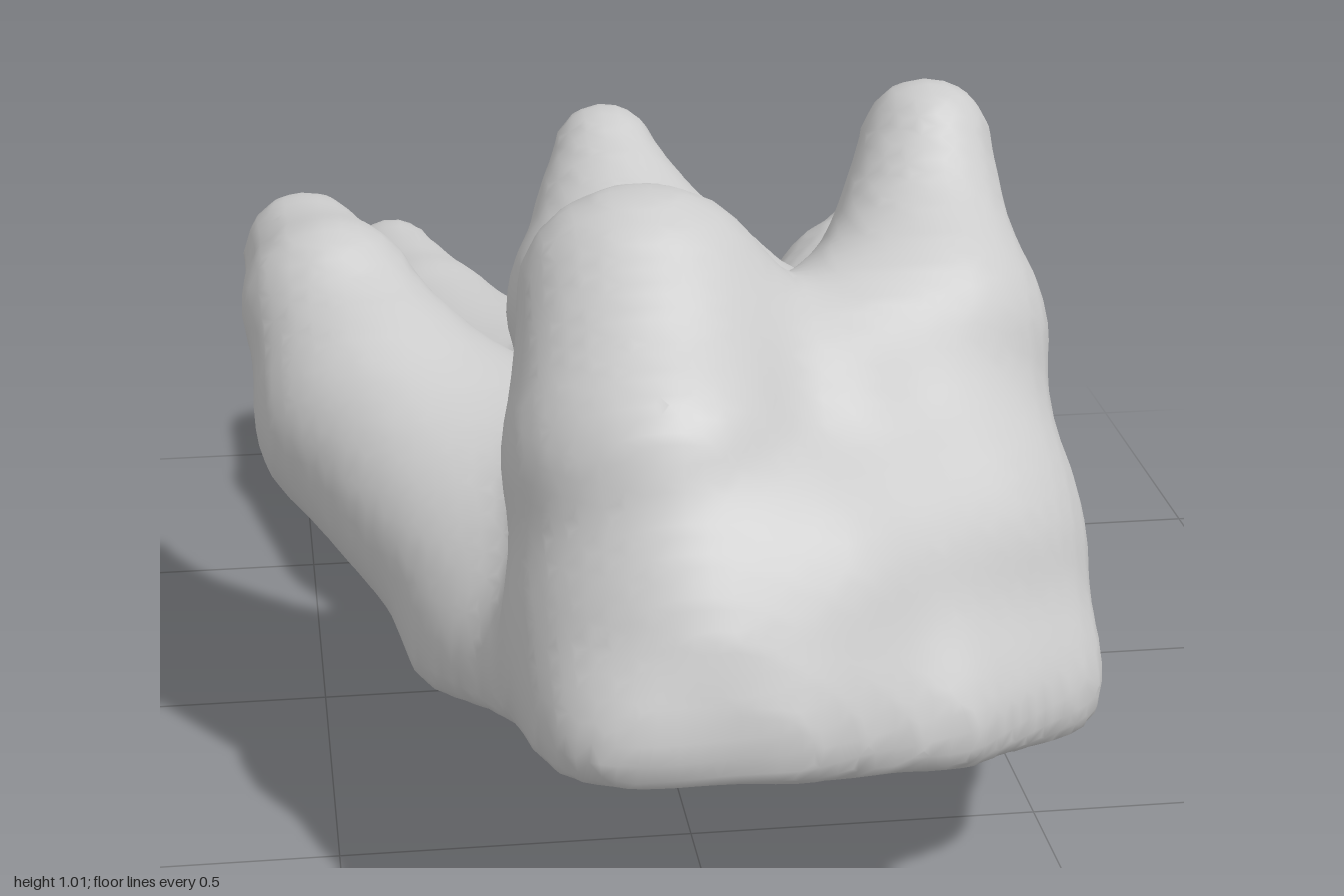
import * as THREE from 'three';

// Each lobe is a chain of balls [x, y, z, radius], tapering from one to the next
const lobes = {
  frontWall: [[-0.06, 0.44, 0.74, 0.21], [0.08, 0.45, 0.68, 0.24], [0.28, 0.45, 0.53, 0.25]],
  frontPeak: [[-0.04, 0.45, 0.73, 0.23], [-0.08, 0.65, 0.67, 0.185], [-0.1, 0.83, 0.51, 0.14]],
  frontPeakShoulder: [[-0.08, 0.65, 0.62, 0.17], [-0.03, 0.83, 0.49, 0.125]],
  saddle: [[-0.04, 0.76, 0.52, 0.14], [0.14, 0.65, 0.5, 0.17], [0.34, 0.71, 0.37, 0.16]],
  sidePeak: [[0.29, 0.45, 0.47, 0.25], [0.34, 0.68, 0.34, 0.17], [0.38, 0.92, 0.175, 0.095]],
  rightRim: [[-0.13, 0.37, 0.88, 0.105], [0.05, 0.37, 0.87, 0.115], [0.25, 0.34, 0.79, 0.13],
    [0.4, 0.31, 0.65, 0.14], [0.455, 0.22, 0.32, 0.14], [0.38, 0.16, 0, 0.14], [0.39, 0.13, -0.4, 0.13]],
  leftRim: [[-0.13, 0.37, 0.88, 0.1], [-0.13, 0.35, 0.7, 0.13], [-0.25, 0.3, 0.45, 0.13],
    [-0.18, 0.22, 0, 0.14], [-0.17, 0.24, -0.4, 0.14]],
  core: [[0.25, 0.32, 0.5, 0.24], [0.25, 0.3, 0.2, 0.27], [0.25, 0.24, -0.4, 0.2]],
  coreLeft: [[-0.03, 0.32, 0.55, 0.22], [-0.03, 0.3, 0.25, 0.25], [-0.1, 0.26, -0.4, 0.2]],
  thumb: [[-0.22, 0.38, 0.43, 0.17], [-0.41, 0.53, 0.12, 0.18], [-0.47, 0.65, 0, 0.13], [-0.5, 0.68, -0.15, 0.095]],
  thumbWeb: [[-0.1, 0.45, 0.42, 0.18], [-0.25, 0.45, 0.2, 0.17]],
  middlePeak: [[0.08, 0.43, 0.12, 0.24], [-0.02, 0.6, -0.1, 0.18], [-0.03, 0.78, -0.28, 0.08]],
  middlePeakShoulder: [[0.2, 0.44, 0.15, 0.23], [0.11, 0.57, -0.12, 0.13], [-0.02, 0.68, -0.23, 0.1]],
  upperFinger: [[0.31, 0.39, -0.05, 0.24], [0.42, 0.44, -0.47, 0.15], [0.51, 0.53, -0.67, 0.072]],
  lowerFinger: [[0.34, 0.19, -0.38, 0.18], [0.37, 0.18, -0.65, 0.135], [0.44, 0.17, -0.86, 0.075]],
  middleFinger: [[0.05, 0.25, -0.3, 0.2], [0.07, 0.24, -0.72, 0.16], [0.08, 0.23, -0.91, 0.09]],
  outerFinger: [[-0.19, 0.3, -0.3, 0.19], [-0.29, 0.36, -0.62, 0.135], [-0.335, 0.42, -0.85, 0.075]],
};

// Distance from a point to a tapered capsule
function taper(x, y, z, a, b) {
  const dx = b[0] - a[0], dy = b[1] - a[1], dz = b[2] - a[2];
  let t = ((x - a[0]) * dx + (y - a[1]) * dy + (z - a[2]) * dz) / (dx * dx + dy * dy + dz * dz);
  t = Math.min(1, Math.max(0, t));
  return Math.hypot(x - a[0] - t * dx, y - a[1] - t * dy, z - a[2] - t * dz) - (a[3] + t * (b[3] - a[3]));
}

// Rounded blend of two distances
function blend(a, b, k) {
  const h = Math.max(k - Math.abs(a - b), 0) / k;
  return Math.min(a, b) - h * h * k / 4;
}

const chains = Object.values(lobes);

// All lobes melted together, then cut by the sloping flat underside
function field(x, y, z) {
  let d = 10;
  for (const chain of chains) {
    let lobe = 10;
    for (let i = 1; i < chain.length; i++) lobe = blend(lobe, taper(x, y, z, chain[i - 1], chain[i]), 0.015);
    d = blend(d, lobe, 0.07);
  }
  const under = (0.118 + 0.215 * z - 0.07 * x - y) * 0.97;
  return -blend(-d, -under, 0.035);
}

// Skin the field with one vertex per crossed grid cell
function skin(min, max, step) {
  const n = min.map((m, i) => Math.ceil((max[i] - m) / step) + 1);
  const stride = [1, n[0], n[0] * n[1]];
  const at = (i, j, k) => i + j * stride[1] + k * stride[2];
  const values = new Float32Array(n[0] * n[1] * n[2]);
  for (let k = 0; k < n[2]; k++)
    for (let j = 0; j < n[1]; j++)
      for (let i = 0; i < n[0]; i++)
        values[at(i, j, k)] = field(min[0] + i * step, min[1] + j * step, min[2] + k * step);

  const position = [], index = [], cellVertex = new Int32Array(values.length).fill(-1);
  for (let k = 0; k < n[2] - 1; k++)
    for (let j = 0; j < n[1] - 1; j++)
      for (let i = 0; i < n[0] - 1; i++) {
        const base = at(i, j, k), sum = [0, 0, 0];
        let count = 0;
        for (let c = 0; c < 8; c++)
          for (let d = 0; d < 3; d++) {
            if (c & (1 << d)) continue;
            const corner = [c & 1, (c >> 1) & 1, c >> 2];
            const p = base + at(...corner);
            const v0 = values[p], v1 = values[p + stride[d]];
            if ((v0 < 0) === (v1 < 0)) continue;
            corner[d] += v0 / (v0 - v1);
            corner.forEach((v, q) => { sum[q] += v; });
            count++;
          }
        if (!count) continue;
        cellVertex[base] = position.length / 3;
        [i, j, k].forEach((v, q) => position.push(min[q] + (v + sum[q] / count) * step));
      }

  // A quad around every grid edge that passes through the surface
  for (let k = 1; k < n[2] - 1; k++)
    for (let j = 1; j < n[1] - 1; j++)
      for (let i = 1; i < n[0] - 1; i++)
        for (let d = 0; d < 3; d++) {
          const p = at(i, j, k), inside = values[p] < 0;
          if (inside === (values[p + stride[d]] < 0)) continue;
          const e = stride[(d + 1) % 3], f = stride[(d + 2) % 3];
          const q = [p, p - e, p - e - f, p - f].map(c => cellVertex[c]);
          if (!inside) q.reverse();
          index.push(q[0], q[1], q[2], q[0], q[2], q[3]);
        }

  const geometry = new THREE.BufferGeometry();
  geometry.setAttribute('position', new THREE.Float32BufferAttribute(position, 3));
  geometry.setIndex(index);
  geometry.computeVertexNormals();
  return geometry;
}

export function createModel() {
  const group = new THREE.Group();
  group.name = 'lobedRock';
  const body = new THREE.Mesh(
    skin([-0.75, -0.15, -1.15], [0.75, 1.15, 1.15], 0.026),
    new THREE.MeshStandardMaterial({ color: 0xcccccc }),
  );
  body.name = 'lobedBody';
  group.add(body);
  return group;
}
